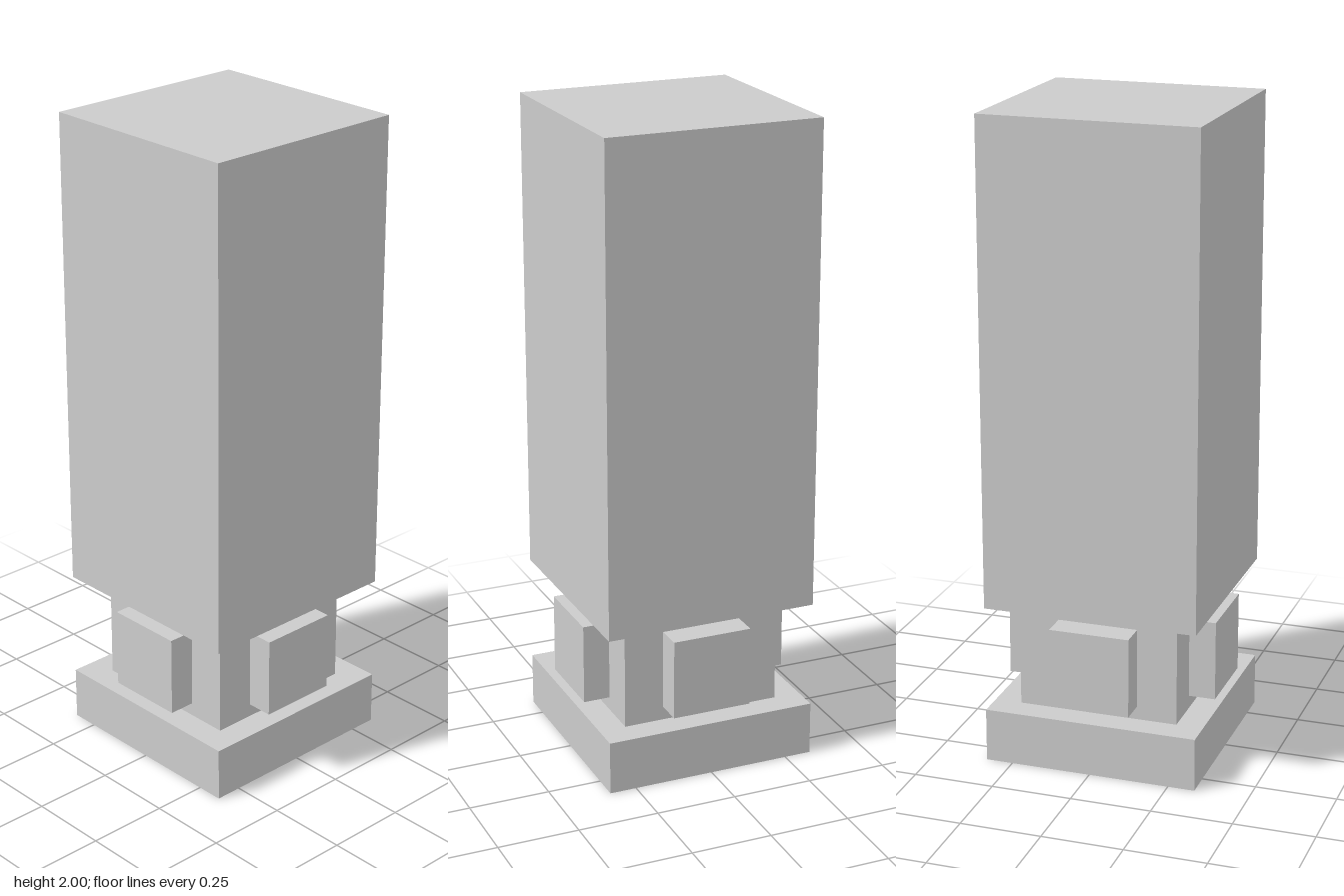
import * as THREE from 'three';

const WIDTH = 2 / 3;   // base and shaft
const NECK = 0.5;      // recessed neck
const BOSS = 0.25;     // square blocks on the neck

export function createModel() {
  const model = new THREE.Group();
  const material = new THREE.MeshStandardMaterial({ color: 0xcccccc, flatShading: true });

  // Square block spanning bottom..top
  const addBlock = (name, width, bottom, top) => {
    const mesh = new THREE.Mesh(new THREE.BoxGeometry(width, top - bottom, width), material);
    mesh.name = name;
    mesh.position.y = (bottom + top) / 2;
    model.add(mesh);
  };
  addBlock('base', WIDTH, 0, 1 / 6);
  addBlock('neck', NECK, 1 / 6, 0.5);
  addBlock('shaft', WIDTH, 0.5, 2);

  // One raised block per neck side, flush with the shaft
  const depth = (WIDTH - NECK) / 2;
  const bossGeometry = new THREE.BoxGeometry(BOSS, BOSS, depth);
  ['front', 'left', 'back', 'right'].forEach((side, i) => {
    const angle = i * Math.PI / 2;
    const radius = (WIDTH - depth) / 2;
    const boss = new THREE.Mesh(bossGeometry, material);
    boss.name = `${side}Block`;
    boss.position.set(Math.sin(angle) * radius, 1 / 3, Math.cos(angle) * radius);
    boss.rotation.y = angle;
    model.add(boss);
  });

  return model;
}
